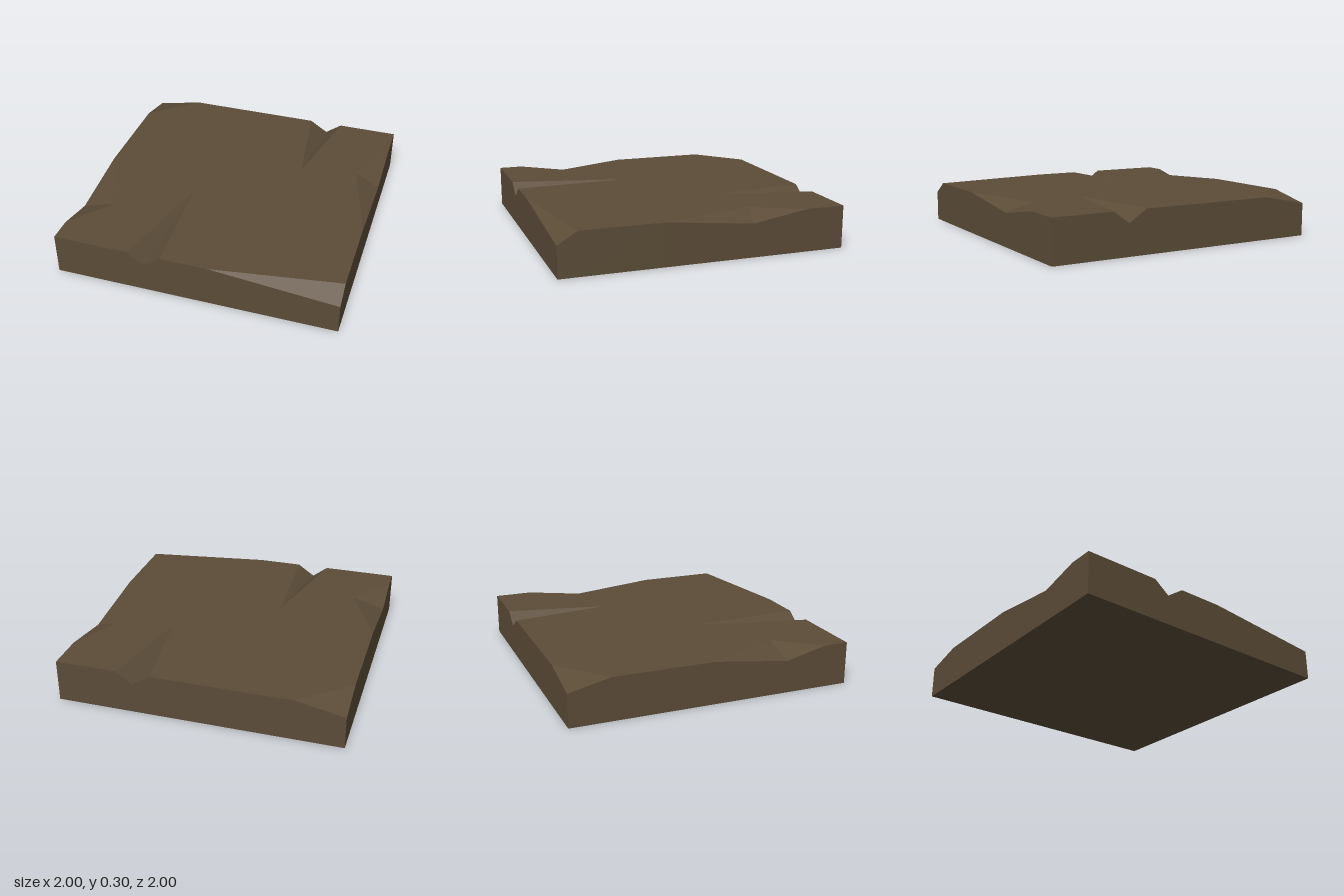
import * as THREE from 'three';

const TOP = 0.3;
const at = (x, z, y = TOP) => new THREE.Vector3(x, y, z);

// Rim features, anticlockwise from the front right corner (seen from above).
// A chip cuts from rim point a down to low and back up to b; a crack also runs in to a tip.
const FEATURES = [
  { a: at(-1, 1) },
  { a: at(-0.46, 1), low: at(-0.35, 1, 0.215), b: at(-0.225, 1), tip: at(-0.27, 0.2) },
  { a: at(0.1, 1), low: at(1, 1, 0.217), b: at(1, 0.865) },
  { a: at(1, 0.29), low: at(1, -0.33, 0.235), b: at(1, -0.73), tip: at(0.82, -0.37) },
  { a: at(1, -1) },
  { a: at(0.565, -1), low: at(0.45, -1, 0.217), b: at(0.32, -1), tip: at(0.415, -0.285) },
  { a: at(-0.66, -1), low: at(-1, -1, 0.233), b: at(-1, -0.71) },
  { a: at(-1, 0), low: at(-1, 0.535, 0.23), b: at(-1, 0.83), tip: at(-0.765, 0.535) },
];

// Flat-shaded mesh from a list of triangle corners
function facetMesh(name, points, material) {
  const geometry = new THREE.BufferGeometry().setFromPoints(points);
  geometry.computeVertexNormals();
  const mesh = new THREE.Mesh(geometry, material);
  mesh.name = name;
  return mesh;
}

export function createModel() {
  const group = new THREE.Group();
  group.name = 'crackedGroundSlab';
  const earth = new THREE.MeshStandardMaterial({ color: 0x5c4c38 });
  earth.name = 'brown earth';

  const rim = [], outline = [], cuts = [];
  for (const { a, low, b, tip } of FEATURES) {
    rim.push(a);
    outline.push(a);
    if (!low) continue;
    rim.push(low, b);
    if (tip) {
      outline.push(tip);
      cuts.push(a, low, tip, low, b, tip);
    } else {
      cuts.push(a, low, b);
    }
    outline.push(b);
  }

  // Level top between the cracks
  const flat = outline.map(p => new THREE.Vector2(p.x, -p.z));
  const top = THREE.ShapeUtils.triangulateShape(flat, []).flat().map(i => outline[i]);

  // Upright sides below the broken rim
  const sides = [];
  rim.forEach((p, i) => {
    const q = rim[(i + 1) % rim.length];
    const p0 = at(p.x, p.z, 0), q0 = at(q.x, q.z, 0);
    sides.push(p0, q0, q, p0, q, p);
  });

  // Underside
  const base = [at(-1, 1, 0), at(-1, -1, 0), at(1, -1, 0), at(1, 1, 0)];
  const under = [0, 1, 2, 0, 2, 3].map(i => base[i]);

  group.add(
    facetMesh('topSurface', top, earth),
    facetMesh('cracksAndChips', cuts, earth),
    facetMesh('sideWalls', sides, earth),
    facetMesh('underside', under, earth),
  );
  return group;
}
